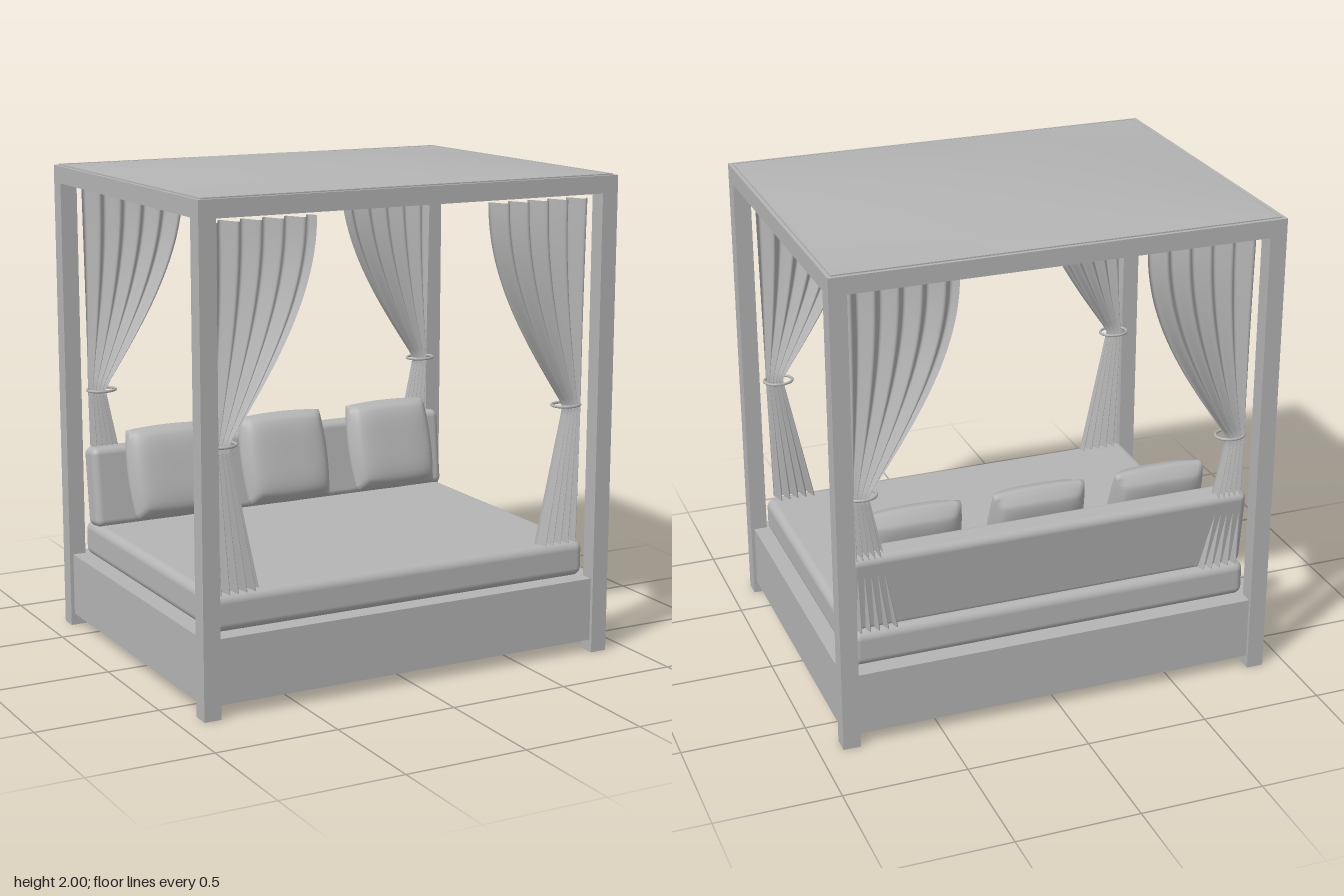
import * as THREE from 'three';
import { mergeVertices } from 'three/addons/utils/BufferGeometryUtils.js';
import { RoundedBoxGeometry } from 'three/addons/geometries/RoundedBoxGeometry.js';

const grey = new THREE.MeshStandardMaterial({ color: 0xb4b4b4, side: THREE.DoubleSide });
grey.name = 'soft grey';

const HX = 0.905, HZ = 0.705, POST = 0.07; // outer half sizes and post width

// Move every vertex by a rule, then smooth the result
function reshape(geometry, rule) {
  geometry.deleteAttribute('normal');
  geometry.deleteAttribute('uv');
  const g = mergeVertices(geometry, 1e-5);
  const p = g.attributes.position;
  for (let i = 0; i < p.count; i++) p.setXYZ(i, ...rule(p.getX(i), p.getY(i), p.getZ(i)));
  g.computeVertexNormals();
  return g;
}

// Plump square pillow with soft, slightly pulled-out sides
function pillowGeometry() {
  return reshape(new THREE.BoxGeometry(2, 2, 2, 20, 20, 6), (x, y, z) => {
    const puff = Math.pow(Math.max(0, (1 - x ** 4) * (1 - y ** 4)), 0.45);
    const round = 1 - 0.05 * z * z;
    return [
      0.205 * x * (1 - 0.07 * y * y) * round,
      0.195 * y * (1 - 0.05 * x * x) * round,
      z * (0.022 + 0.05 * puff),
    ];
  });
}

// Pleated curtain gathered at a tie; built for the +x, +z corner
function curtainGeometry(sx, sz) {
  const top = 1.855, tie = 1.02, bottom = 0.455, folds = 5;
  return reshape(new THREE.PlaneGeometry(1, 1, 80, 40), (u, v) => {
    const s = u + 0.5;
    const y = bottom + (v + 0.5) * (top - bottom);
    let outer, inner, depth;
    if (y > tie) {
      const t = (y - tie) / (top - tie);
      outer = 0.815 + 0.012 * t;
      inner = 0.745 - 0.37 * Math.sin(t * Math.PI / 2);
      depth = 0.018 + 0.017 * t;
    } else {
      const t = (tie - y) / (tie - bottom);
      outer = 0.815 - 0.01 * t;
      inner = 0.745 - 0.12 * t;
      depth = 0.018 + 0.01 * t;
    }
    const x = outer + (inner - outer) * s;
    return [sx * x, y, sz * (0.603 + depth * Math.sin(s * folds * Math.PI * 2))];
  });
}

export function createModel() {
  const model = new THREE.Group();
  const add = (name, geometry, x = 0, y = 0, z = 0) => {
    const mesh = new THREE.Mesh(geometry, grey);
    mesh.name = name;
    mesh.position.set(x, y, z);
    model.add(mesh);
    return mesh;
  };
  const box = (name, w, h, d, x, y, z) => add(name, new THREE.BoxGeometry(w, h, d), x, y, z);

  // Frame: top beams
  const px = HX - POST / 2, pz = HZ - POST / 2;
  for (const s of [-1, 1]) {
    box('longBeam', 2 * (HX - POST), 0.07, POST, 0, 1.915, s * pz);
    box('sideBeam', POST, 0.07, 2 * (HZ - POST), s * px, 1.915, 0);
  }

  // Domed canopy sheet
  add('canopy', reshape(new THREE.PlaneGeometry(2, 2, 24, 24), (u, v) => [
    0.89 * u, 1.953 + 0.047 * (1 - u * u) * (1 - v * v), -0.69 * v,
  ]));
  for (const s of [-1, 1]) {
    box('canopyHem', 1.78, 0.01, 0.01, 0, 1.95, s * 0.685);
    box('canopyHem', 0.01, 0.01, 1.36, s * 0.885, 1.95, 0);
  }

  // Bed base, mattress and backrest
  box('base', 1.78, 0.26, 1.38, 0, 0.18, 0);
  add('mattress', new RoundedBoxGeometry(1.67, 0.147, 1.27, 5, 0.035), 0, 0.383, 0);
  const back = add('backrest', new RoundedBoxGeometry(1.67, 0.335, 0.112, 5, 0.03), 0, 0.612, -0.56);
  back.rotation.x = -0.12;

  // Three leaning pillows
  const pillow = pillowGeometry();
  for (const x of [-0.52, 0, 0.52]) add('pillow', pillow, x, 0.683, -0.415).rotation.x = -0.27;

  // Corners: post, curtain and tie ring
  const ring = new THREE.TorusGeometry(0.06, 0.006, 8, 32);
  ring.rotateX(Math.PI / 2);
  ring.scale(1, 1, 0.83);
  for (const sx of [-1, 1]) for (const sz of [-1, 1]) {
    box('post', POST, 1.95, POST, sx * px, 0.975, sz * pz);
    add('curtain', curtainGeometry(sx, sz));
    add('curtainTie', ring, sx * 0.768, 1.02, sz * 0.58);
  }
  return model;
}
